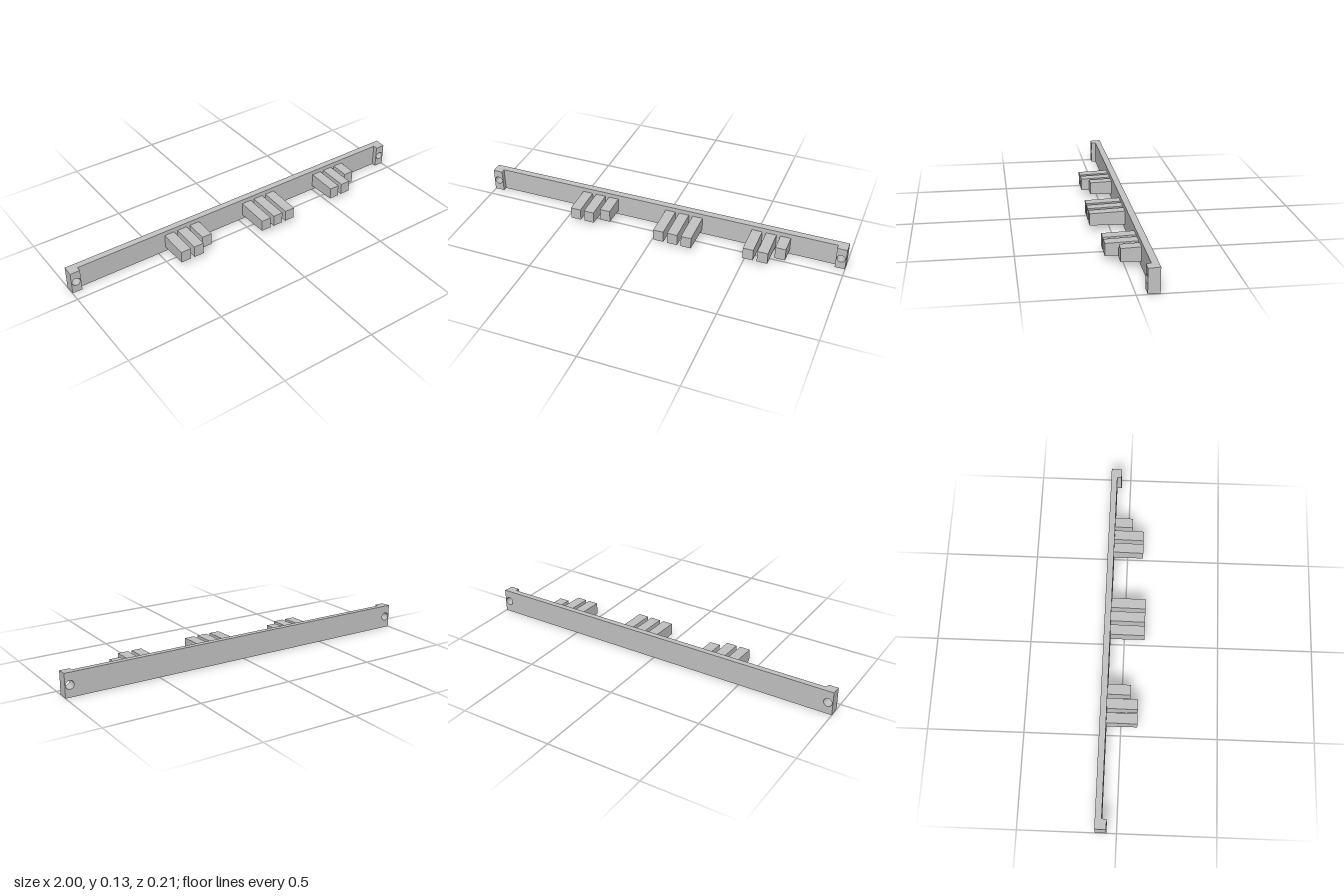
import * as THREE from 'three';

const MID = 0.063; // mid height of the bar
const BACK = -0.107, FACE = -0.074;

// Narrow a geometry in height toward the front, like moulding draft
function draft(geometry, slope, half) {
  const p = geometry.attributes.position;
  for (let i = 0; i < p.count; i++) {
    const k = 1 - (slope * (p.getZ(i) - BACK)) / half;
    p.setY(i, MID + (p.getY(i) - MID) * k);
  }
  geometry.computeVertexNormals();
  return geometry;
}

// Rectangular slab with round screw holes, extruded from z0 to z1
function slab(x0, x1, z0, z1, holes) {
  const s = new THREE.Shape([[x0, 0], [x1, 0], [x1, 0.126], [x0, 0.126]].map(([x, y]) => new THREE.Vector2(x, y)));
  for (const x of holes) s.holes.push(new THREE.Path().absarc(x, MID, 0.022, 0, Math.PI * 2, true));
  const g = new THREE.ExtrudeGeometry(s, { depth: z1 - z0, bevelEnabled: false, curveSegments: 10 });
  return draft(g.translate(0, 0, z0), 0.053, 0.063);
}

export function createModel() {
  const model = new THREE.Group();
  const grey = new THREE.MeshStandardMaterial({ color: 0xc3c3c3 });
  grey.name = 'lightGrey';
  const add = (name, geometry) => {
    const mesh = new THREE.Mesh(geometry, grey);
    mesh.name = name;
    model.add(mesh);
  };

  // Long back bar with a screw hole at each end
  add('backBar', slab(-1, 1, BACK, FACE, [-0.974, 0.974]));

  // Raised mounting pads around the holes
  for (const [name, s] of [['leftPad', 1], ['rightPad', -1]]) {
    add(name, slab(Math.min(s, s * 0.948), Math.max(s, s * 0.948), FACE, -0.05, [s * 0.974]));
  }

  // Three clusters of projecting teeth: start x and front z of each tooth
  const clusters = [
    ['rightTooth', -0.459, [0.085, 0.085, 0.044]],
    ['middleTooth', 0.022, [0.107, 0.107, 0.107]],
    ['leftTooth', 0.499, [0.085, 0.085, 0.023]],
  ];
  for (const [name, start, tips] of clusters) {
    tips.forEach((tip, i) => {
      const depth = tip - FACE;
      const g = new THREE.BoxGeometry(0.055, 0.076, depth);
      g.translate(start + 0.0275 + i * 0.076, MID + 0.0005, FACE + depth / 2);
      add(name + (i + 1), draft(g, 0.033, 0.038));
    });
  }
  return model;
}
